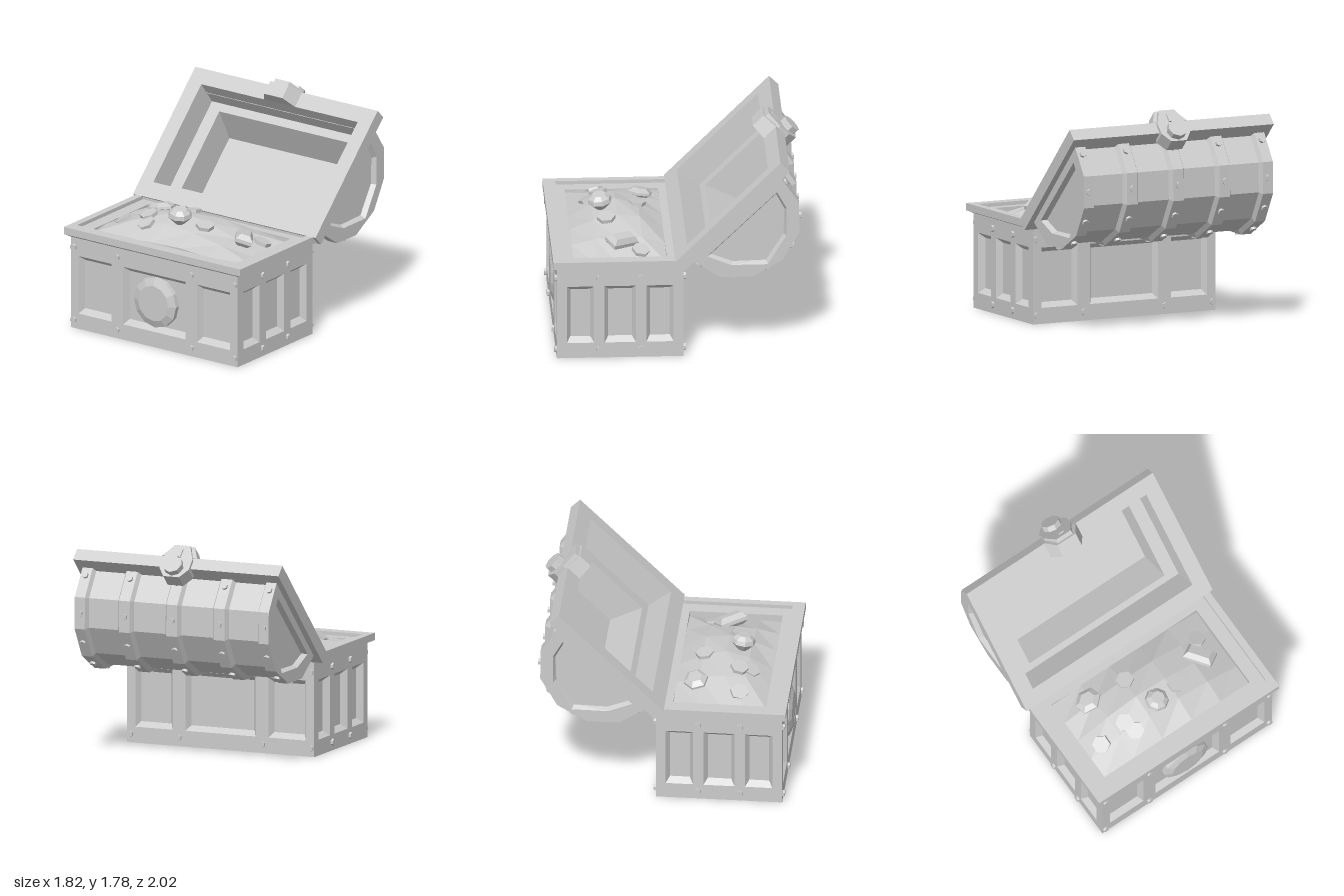
import * as THREE from 'three';

const material = new THREE.MeshStandardMaterial({ color: 0xcccccc, flatShading: true, side: THREE.DoubleSide });
const V = (x, y, z) => new THREE.Vector3(x, y, z);

function add(parent, name, geometry, x = 0, y = 0, z = 0) {
  const mesh = new THREE.Mesh(geometry, material);
  mesh.name = name;
  mesh.position.set(x, y, z);
  parent.add(mesh);
  return mesh;
}

function group(parent, name) {
  const g = new THREE.Group();
  g.name = name;
  parent.add(g);
  return g;
}

// Faceted skin through a list of rings, optionally closed and capped
function loft(rings, { closed = true, cap = false } = {}) {
  const pts = [];
  const n = rings[0].length;
  for (let i = 0; i < rings.length - 1; i++) {
    for (let j = 0; j < (closed ? n : n - 1); j++) {
      const k = (j + 1) % n;
      const [a, b, c, d] = [rings[i][j], rings[i][k], rings[i + 1][k], rings[i + 1][j]];
      pts.push(a, b, c, a, c, d);
    }
  }
  if (cap) {
    const last = rings[rings.length - 1];
    const mid = last.reduce((s, p) => s.add(p), V(0, 0, 0)).divideScalar(n);
    last.forEach((p, j) => pts.push(p, last[(j + 1) % n], mid));
  }
  const g = new THREE.BufferGeometry().setFromPoints(pts);
  g.computeVertexNormals();
  return g;
}

// Horizontal rectangle ring, and flat ring facing +z
const rect = (hw, z0, z1, y) => [V(hw, y, z1), V(-hw, y, z1), V(-hw, y, z0), V(hw, y, z0)];
const flat = (pts, z) => pts.map(([x, y]) => V(x, y, z));
const shapeOf = pts => new THREE.Shape(pts.map(([x, y]) => new THREE.Vector2(x, y)));
const box2 = (cx, hw, y0, y1) => [[cx - hw, y0], [cx + hw, y0], [cx + hw, y1], [cx - hw, y1]];
const ngon = (n, r, y) => Array.from({ length: n }, (_, i) => {
  const a = (i / n) * Math.PI * 2;
  return [r * Math.cos(a), y + r * Math.sin(a)];
});

function stud(parent, pos, dir) {
  const m = add(parent, 'stud', new THREE.CylinderGeometry(0.027, 0.027, 0.04, 6), ...pos);
  m.quaternion.setFromUnitVectors(V(0, 1, 0), dir.normalize());
}

// Wall facing +z with sunken bevelled panels [centre, halfWidth] and two rows of studs
function wall(parent, name, width, panels, studs) {
  const g = group(parent, name);
  const shape = shapeOf(box2(0, width / 2, 0, 0.78));
  for (const [cx, hw] of panels) {
    const outer = box2(cx, hw, 0.13, 0.62);
    shape.holes.push(shapeOf(outer));
    const inner = box2(cx, hw - 0.03, 0.17, 0.58);
    add(g, 'sunkenPanel', loft([flat(outer, 0), flat(inner, -0.05)], { cap: true }));
  }
  add(g, 'wallFrame', new THREE.ShapeGeometry(shape));
  for (const x of studs) for (const y of [0.07, 0.69]) stud(g, [x, y, 0], V(0, 0, 1));
  return g;
}

function buildBase(parent) {
  const base = group(parent, 'base');
  const longPanels = [[-0.59, 0.165], [0, 0.31], [0.59, 0.165]];
  const longStuds = [-0.8, -0.37, 0.37, 0.8];
  const front = wall(base, 'frontWall', 1.66, longPanels, longStuds);
  front.position.z = 0.97;
  add(front, 'medallion', loft([flat(ngon(12, 0.21, 0.375), -0.05), flat(ngon(12, 0.21, 0.375), -0.01),
    flat(ngon(12, 0.15, 0.375), 0.015)], { cap: true }));
  const back = wall(base, 'backWall', 1.66, longPanels, longStuds);
  back.position.z = -0.05;
  back.rotation.y = Math.PI;
  for (const s of [-1, 1]) {
    const side = wall(base, s > 0 ? 'leftWall' : 'rightWall', 1.02,
      [[-0.32, 0.11], [0, 0.125], [0.32, 0.11]], [-0.17, 0.17]);
    side.position.set(s * 0.83, 0, 0.46);
    side.rotation.y = s * Math.PI / 2;
    add(base, 'hingeBlock', new THREE.BoxGeometry(0.1, 0.09, 0.06), s * 0.6, 0.74, -0.07);
  }
  add(base, 'bottom', loft([rect(0.83, -0.05, 0.97, 0)], { cap: true }));
  add(base, 'rim', loft([
    rect(0.71, 0.08, 0.83, 0.6), rect(0.71, 0.08, 0.83, 0.82), rect(0.82, 0.01, 0.9, 0.82),
    rect(0.82, 0.01, 0.9, 0.85), rect(0.88, -0.05, 1, 0.85), rect(0.88, -0.05, 1, 0.79),
    rect(0.83, -0.05, 0.97, 0.77)]));
}

// Height of the treasure mound at a point
const moundHeight = (x, z) =>
  0.77 + 0.2 * (1 - ((x + 0.07) / 0.74) ** 2) * (1 - ((z - 0.45) / 0.46) ** 2)
  + 0.012 * Math.sin(x * 17 + z * 23);

function buildTreasure(parent) {
  const g = group(parent, 'treasure');
  const mound = new THREE.PlaneGeometry(1.42, 0.75, 5, 4).rotateX(-Math.PI / 2).translate(0, 0, 0.455);
  const p = mound.attributes.position;
  for (let i = 0; i < p.count; i++) p.setY(i, moundHeight(p.getX(i), p.getZ(i)));
  mound.computeVertexNormals();
  add(g, 'mound', mound);

  // Coins: x, z, tilt about x, tilt about z
  for (const [x, z, tx, tz] of [[-0.13, 0.28, -0.15, 0.1], [-0.58, 0.6, 0.25, 0.5], [-0.34, 0.58, 0.25, 0.2],
    [-0.3, 0.67, 0.5, 0.2], [0.19, 0.54, 0.1, -0.2], [0.57, 0.28, -0.2, -0.3]]) {
    const coin = add(g, 'coin', new THREE.CylinderGeometry(0.075, 0.075, 0.03, 6), x, moundHeight(x, z) + 0.012, z);
    coin.rotation.set(tx, 0, tz);
  }

  // Cut gems
  const cut = (sides, pts) => new THREE.LatheGeometry(pts.map(([r, y]) => new THREE.Vector2(r, y)), sides);
  const roundGem = add(g, 'roundGem', cut(8, [[0, -0.09], [0.1, 0.015], [0.09, 0.05], [0.055, 0.08], [0, 0.08]]),
    -0.03, 0.99, 0.58);
  roundGem.rotation.set(0.15, 0.2, -0.12);
  const ovalGem = add(g, 'ovalGem', cut(6, [[0, -0.06], [0.1, 0], [0.1, 0.02], [0.06, 0.05], [0, 0.05]]),
    -0.46, 0.88, 0.24);
  ovalGem.scale.x = 1.15;
  ovalGem.rotation.set(-0.2, 0.25, 0.2);
  const longGem = add(g, 'longGem', loft([rect(0.04, -0.09, 0.09, 0.05), rect(0.07, -0.12, 0.12, 0.01),
    rect(0.07, -0.12, 0.12, -0.02), rect(0.04, -0.09, 0.09, -0.05)], { cap: true }), 0.5, 0.88, 0.43);
  add(longGem, 'gemTable', loft([rect(0.04, -0.09, 0.09, 0.05).reverse()], { cap: true }));
  longGem.rotation.set(-0.1, 0.6, -0.25);
}

// Barrel cross-section as [depth, height], over the lid from hinge to clasp
const arch = [[0.095, 0.1], [0.145, 0.365], [0.325, 0.55], [0.595, 0.625], [0.865, 0.55], [1.045, 0.365], [1.095, 0.1]];

function buildLid(parent) {
  const lid = group(parent, 'lid');
  lid.position.set(0, 0.85, 0.02);
  lid.rotation.x = -Math.PI * 0.75;

  // Frame and stepped hollow
  add(lid, 'lidFrame', loft([
    rect(0.84, 0.15, 1.04, 0.106), rect(0.91, 0, 1.195, 0.106), rect(0.91, 0, 1.195, 0),
    rect(0.78, 0.14, 1.06, 0), rect(0.77, 0.176, 1.026, 0.22), rect(0.66, 0.233, 0.955, 0.22),
    rect(0.65, 0.33, 0.858, 0.49)], { cap: true }));

  // Barrel with raised bands
  const ring = (x, low) => arch.map(([u, n]) =>
    low ? V(x, n * 0.94, 0.595 + (u - 0.595) * 0.93) : V(x, n, u));
  const rings = [ring(-0.86), ring(-0.77), ring(-0.75, true)];
  for (const c of [-0.42, 0, 0.42])
    rings.push(ring(c - 0.07, true), ring(c - 0.048), ring(c + 0.048), ring(c + 0.07, true));
  rings.push(ring(0.75, true), ring(0.77), ring(0.86));
  add(lid, 'barrel', loft(rings, { closed: false }));

  // One stud per facet on each band
  for (const x of [-0.815, -0.42, 0, 0.42, 0.815]) {
    for (let i = 0; i < 6; i++) {
      const [a, b] = [arch[i], arch[i + 1]];
      const t = i === 0 ? 0.28 : i === 5 ? 0.72 : 0.5;
      stud(lid, [x, a[1] + (b[1] - a[1]) * t, a[0] + (b[0] - a[0]) * t], V(0, b[0] - a[0], a[1] - b[1]));
    }
  }

  // End caps with a sunken panel, mirrored
  const panel = [[0.2, 0.165], [0.28, 0.356], [0.49, 0.565], [0.77, 0.496], [0.94, 0.33], [0.985, 0.175]];
  const flip = ([u, n]) => [-u, n];
  const shrink = ([u, n]) => [-(0.6 + (u - 0.6) * 0.93), 0.33 + (n - 0.33) * 0.89];
  for (const s of [-1, 1]) {
    const end = group(lid, s > 0 ? 'leftEnd' : 'rightEnd');
    end.scale.x = s;
    const shape = shapeOf(arch.map(flip));
    shape.holes.push(shapeOf(panel.map(flip)));
    add(end, 'endFrame', new THREE.ShapeGeometry(shape), 0.86).rotation.y = Math.PI / 2;
    add(end, 'endPanel', loft([flat(panel.map(flip), 0), flat(panel.map(shrink), -0.04)], { cap: true }),
      0.86).rotation.y = Math.PI / 2;
  }

  // Clasp
  const clasp = group(lid, 'clasp');
  add(clasp, 'hasp', loft([rect(0.155, 1.06, 1.2, 0), rect(0.09, 1.06, 1.18, -0.12)], { cap: true }));
  const half = [[0.07, -0.1], [0.13, 0.03], [0.13, 0.13], [0.07, 0.21]];
  const plate = shapeOf([...half, ...half.map(flip).reverse()]);
  add(clasp, 'claspPlate', new THREE.ExtrudeGeometry(plate, { depth: 0.12, bevelEnabled: false }), 0, 0, 1.1);
  add(clasp, 'claspKnob', new THREE.CylinderGeometry(0.08, 0.08, 0.07, 8), 0, 0.12, 1.235).rotation.x = Math.PI / 2;
  add(clasp, 'claspSlot', new THREE.BoxGeometry(0.045, 0.08, 0.02), 0, -0.02, 1.222);
}

export function createModel() {
  const model = new THREE.Group();
  model.name = 'treasureChest';
  buildBase(model);
  buildTreasure(model);
  buildLid(model);
  return model;
}
